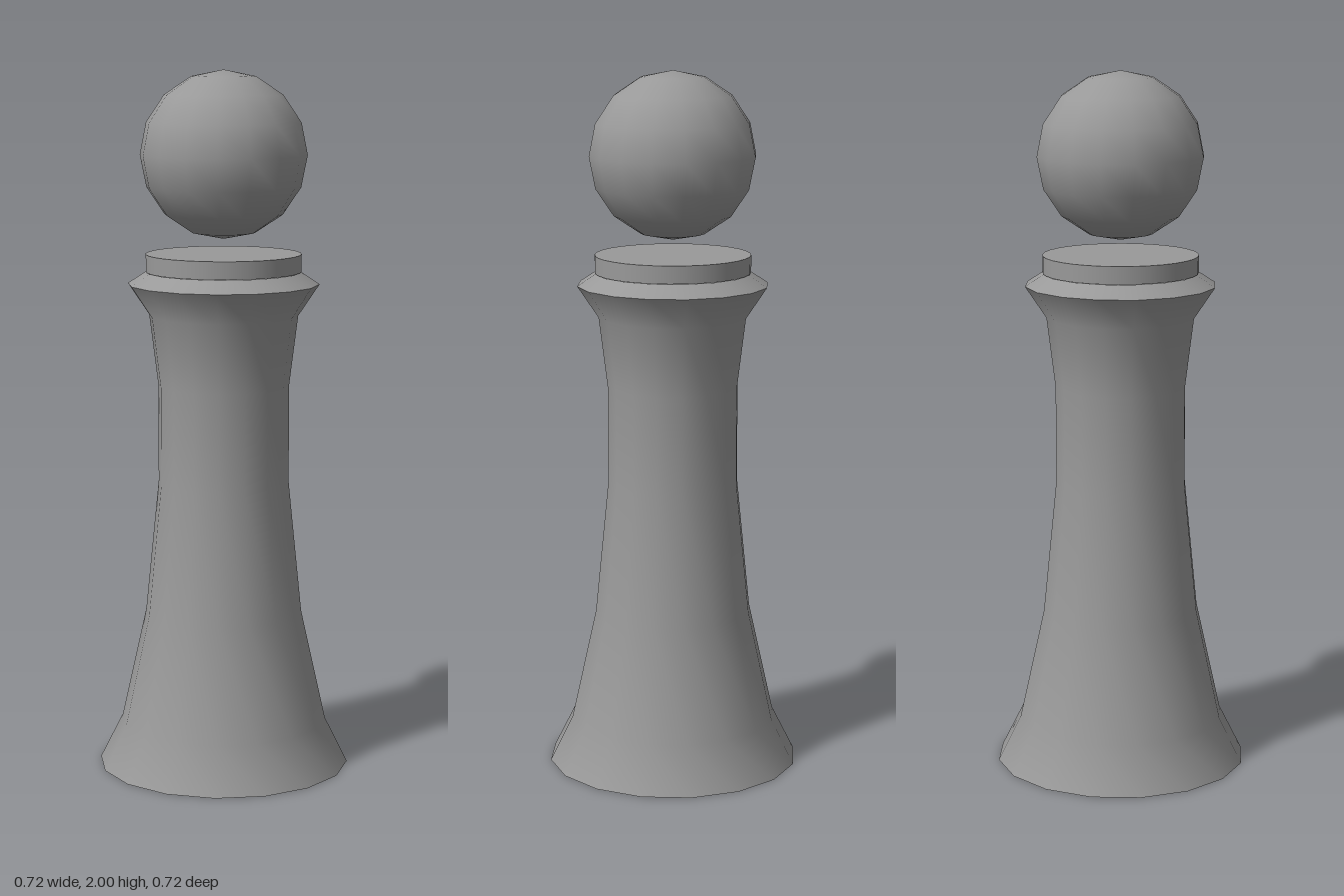
import * as THREE from 'three';

const SIDES = 16;

export function createModel() {
  const group = new THREE.Group();
  const material = new THREE.MeshStandardMaterial({ color: 0x999999, side: THREE.DoubleSide });

  const add = (name, geometry, y = 0) => {
    const mesh = new THREE.Mesh(geometry, material);
    mesh.name = name;
    mesh.position.y = y;
    group.add(mesh);
  };
  const lathe = (profile) =>
    new THREE.LatheGeometry(profile.map(([r, y]) => new THREE.Vector2(r, y)), SIDES);

  // Hollow, waisted body, open at the foot and flaring out to the collar
  add('body', lathe([
    [0.361, 0], [0.296, 0.13], [0.225, 0.45], [0.187, 0.83],
    [0.187, 1.11], [0.212, 1.31], [0.272, 1.4],
  ]));

  // Sloping collar, with a sharp edge against the body
  add('collar', lathe([[0.272, 1.4], [0.22, 1.434]]));

  // Flat, rounder disc on the collar
  add('topDisc', new THREE.CylinderGeometry(0.221, 0.221, 0.05, SIDES * 2), 1.46);

  // Ball hovering just above the disc
  add('ball', new THREE.SphereGeometry(0.2365, SIDES, SIDES / 2), 1.7635);

  return group;
}
